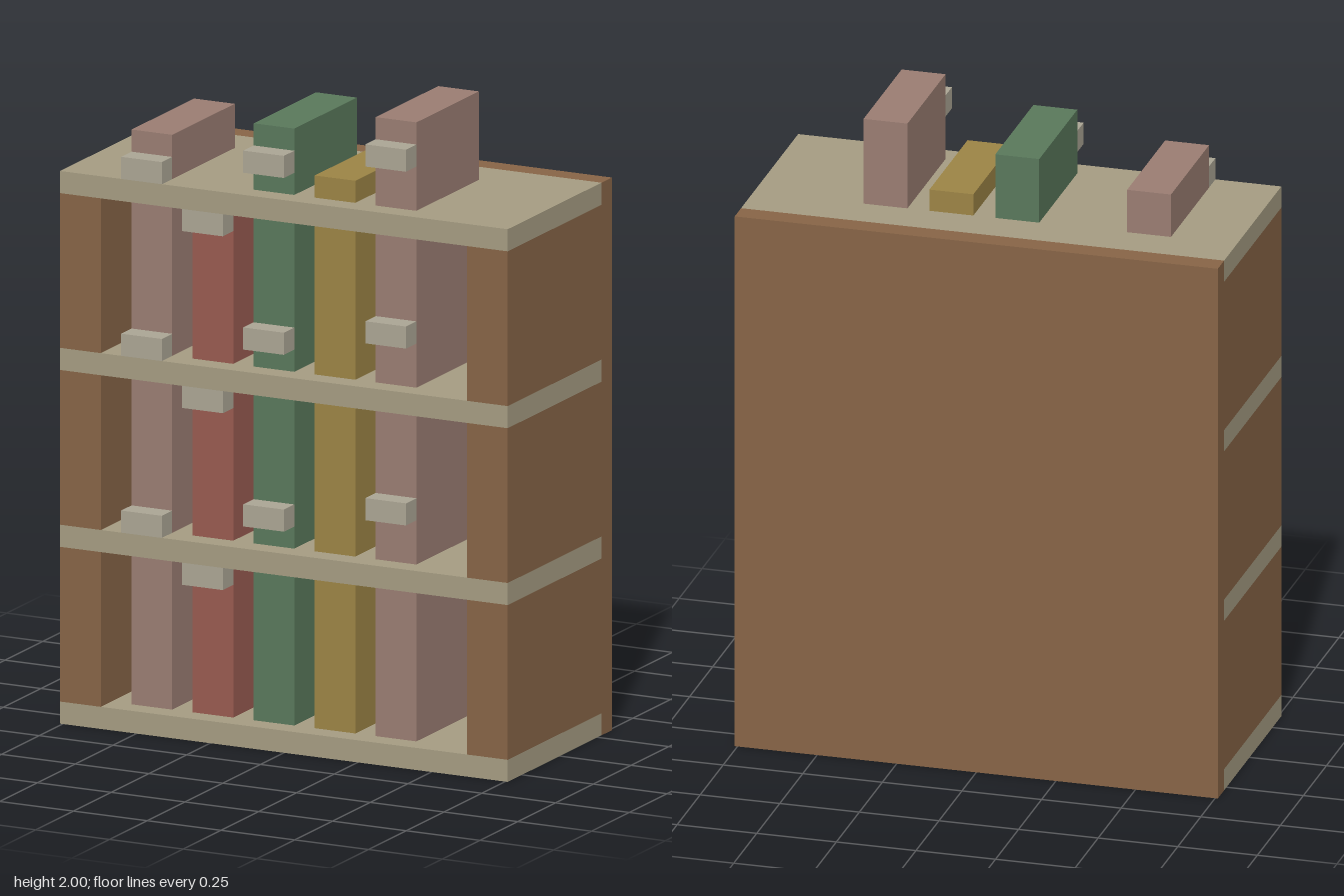
import * as THREE from 'three';

const U = 2 / 29; // one grid unit

const material = (color) => new THREE.MeshStandardMaterial({ color, flatShading: true });

// Box from its min and max corners, in grid units
function box(parent, name, mat, [x0, y0, z0], [x1, y1, z1]) {
  const mesh = new THREE.Mesh(
    new THREE.BoxGeometry((x1 - x0) * U, (y1 - y0) * U, (z1 - z0) * U), mat);
  mesh.position.set((x0 + x1) / 2 * U, (y0 + y1) / 2 * U, (z0 + z1) / 2 * U);
  mesh.name = name;
  parent.add(mesh);
}

export function createModel() {
  const model = new THREE.Group();
  model.name = 'bookcase';

  const wood = material(0x876446);
  const board = material(0xa59c82);
  const label = material(0xaba594);
  const pink = material(0x9a7d72);
  const red = material(0x985a50);
  const green = material(0x59785b);
  const gold = material(0x9c8445);

  // Case: back panel and four shelves
  box(model, 'backPanel', wood, [-11, 0, -5], [11, 25, -4]);
  for (let i = 0; i < 4; i++) {
    box(model, 'shelf', board, [-11, i * 8, -4], [11, i * 8 + 1, 5]);
  }

  // Left edge, height in the top bay, cover, whether a label shows
  const books = [
    { x: -8, height: 10, cover: pink, labelled: true },
    { x: -5, height: 7, labelAt: 6, cover: red, labelled: true },
    { x: -2, height: 11, cover: green, labelled: true },
    { x: 1, height: 9, cover: gold, labelled: false },
    { x: 4, height: 12, cover: pink, labelled: true },
  ];

  // Three bays, each with side walls and a row of books
  for (let bay = 0; bay < 3; bay++) {
    const y = 1 + bay * 8;
    const row = new THREE.Group();
    row.name = 'bay';
    model.add(row);

    box(row, 'leftSide', wood, [9, y, -4], [11, y + 7, 5]);
    box(row, 'rightSide', wood, [-11, y, -4], [-9, y + 7, 5]);

    for (const { x, height, cover, labelled, labelAt = height - 2 } of books) {
      // Books in the lower bays stop at the shelf and carry on above it
      const top = bay < 2 ? 7 : height;
      box(row, 'book', cover, [x, y, -2], [x + 2, y + top, 4]);
      if (labelled) {
        box(row, 'spineLabel', label, [x, y + labelAt, 4], [x + 2, y + labelAt + 1, 5]);
      }
    }
  }
  return model;
}
